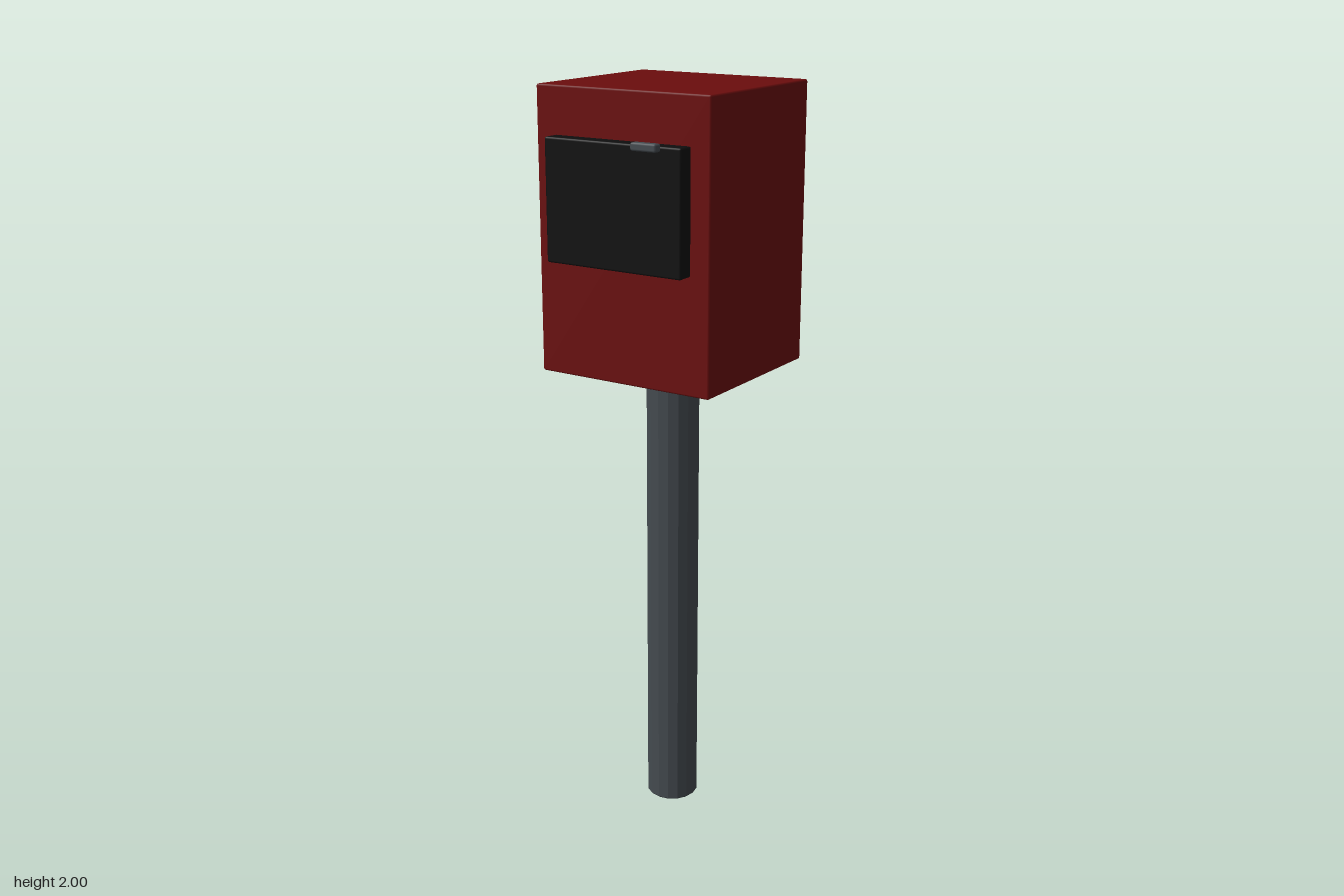
import * as THREE from 'three';
import { RoundedBoxGeometry } from 'three/addons/geometries/RoundedBoxGeometry.js';

export function createModel() {
  const model = new THREE.Group();
  const paint = (name, color) => {
    const m = new THREE.MeshStandardMaterial({ color });
    m.name = name;
    return m;
  };
  const red = paint('dark red paint', 0x6b0d0d);
  const black = paint('black panel', 0x0e0e0e);
  const grey = paint('slate grey metal', 0x444a4f);

  const add = (name, geometry, material, x, y, z) => {
    const mesh = new THREE.Mesh(geometry, material);
    mesh.name = name;
    mesh.position.set(x, y, z);
    model.add(mesh);
  };
  // Box with a narrow chamfer, given by its lower and upper corners
  const block = (name, material, [x0, y0, z0], [x1, y1, z1], chamfer) =>
    add(name, new RoundedBoxGeometry(x1 - x0, y1 - y0, z1 - z0, 1, chamfer), material,
      (x0 + x1) / 2, (y0 + y1) / 2, (z0 + z1) / 2);

  block('housing', red, [-0.252, 1.272, -0.271], [0.252, 2, 0.195], 0.005);
  block('frontPanel', black, [-0.198, 1.57, 0.19], [0.198, 1.88, 0.238], 0.005);
  block('handle', grey, [0.075, 1.869, 0.243], [0.147, 1.889, 0.268], 0.005);

  // Post with small chamfers at both ends
  const r = 0.071, c = 0.005, h = 1.275;
  const profile = [[0, 0], [r - c, 0], [r - c, 0], [r, c], [r, c], [r, h - c], [r, h - c], [r - c, h], [r - c, h], [0, h]]
    .map(([x, y]) => new THREE.Vector2(x, y));
  const post = new THREE.LatheGeometry(profile.filter((p, i) => i === 0 || !p.equals(profile[i - 1])), 16).toNonIndexed();
  post.computeVertexNormals();
  add('post', post, grey, 0, 0, -0.036);

  return model;
}
